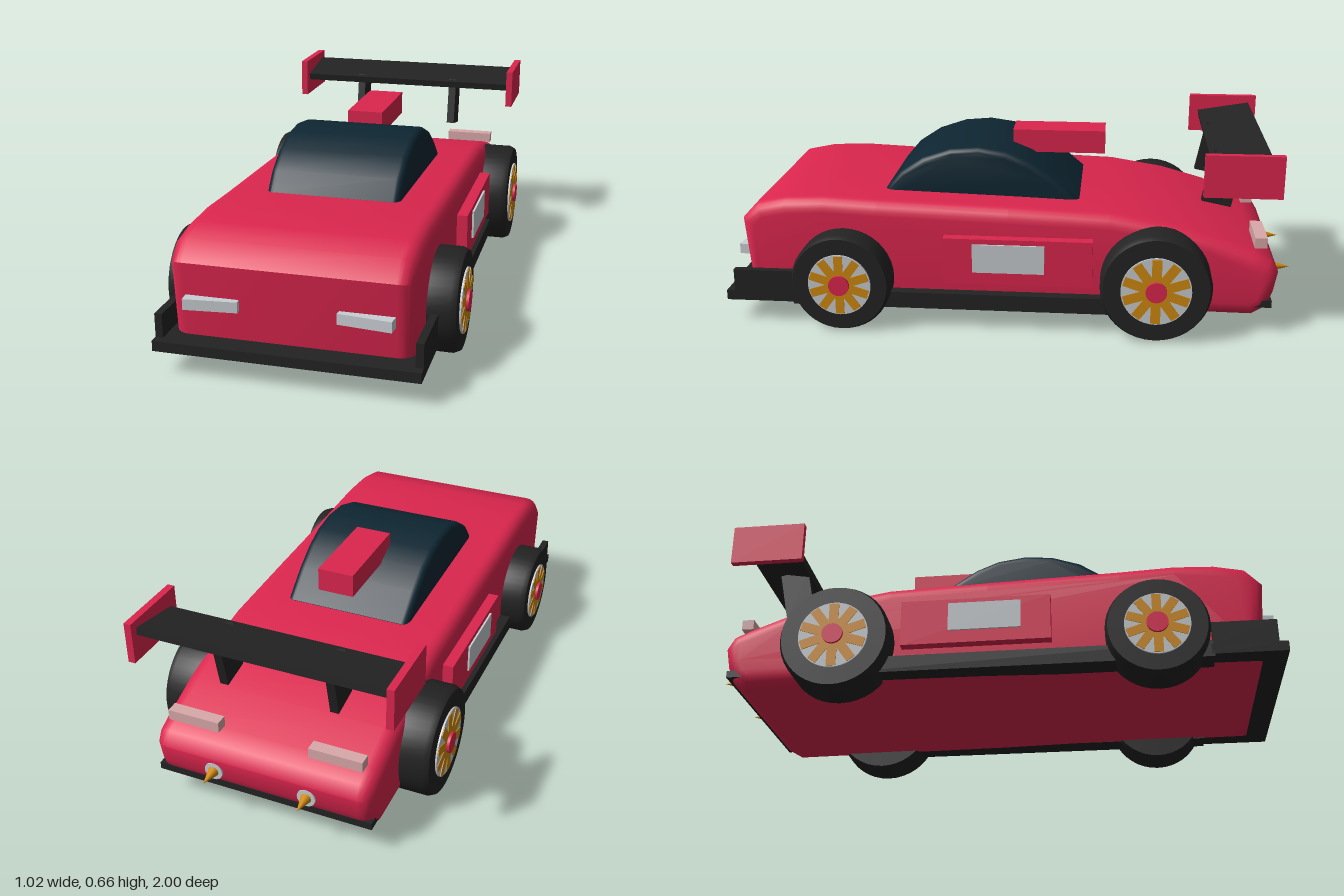
import * as THREE from 'three';
import { toCreasedNormals } from 'three/addons/utils/BufferGeometryUtils.js';

const paint = (name, color) => {
  const m = new THREE.MeshStandardMaterial({ color });
  m.name = name;
  return m;
};

export function createModel() {
  const red = paint('red paint', 0xdc264e);
  const black = paint('black trim', 0x232323);
  const glass = paint('dark glass', 0x0e2632);
  const silver = paint('silver', 0xc9ced2);
  const gold = paint('gold', 0xd18b10);
  const pink = paint('pale pink lamp', 0xd9a9a9);

  const car = new THREE.Group();
  car.name = 'raceCar';

  const add = (name, geometry, material, parent = car) => {
    const mesh = new THREE.Mesh(geometry, material);
    mesh.name = name;
    parent.add(mesh);
    return mesh;
  };

  // Box given by its limits on each axis
  const box = (name, material, [x0, x1], [y0, y1], [z0, z1]) => {
    const mesh = add(name, new THREE.BoxGeometry(Math.abs(x1 - x0), y1 - y0, z1 - z0), material);
    mesh.position.set((x0 + x1) / 2, (y0 + y1) / 2, (z0 + z1) / 2);
    return mesh;
  };

  // Side outline of [z, y] points, extruded across the car with rounded edges
  const sideExtrude = (points, halfWidth, bevel, crease) => {
    const shape = new THREE.Shape(points.map(([z, y]) => new THREE.Vector2(z, y)));
    const depth = 2 * (halfWidth - bevel);
    const geometry = new THREE.ExtrudeGeometry(shape, {
      depth, bevelEnabled: true, bevelSize: bevel, bevelThickness: bevel,
      bevelOffset: -bevel, bevelSegments: 5,
    });
    geometry.translate(0, 0, -depth / 2);
    geometry.rotateY(-Math.PI / 2);
    return toCreasedNormals(geometry, crease);
  };

  // Body shell
  add('body', sideExtrude([
    [0.92, 0.078], [0.946, 0.365], [0.89, 0.425], [0.785, 0.447], [0.65, 0.453],
    [0.46, 0.445], [0, 0.432], [-0.35, 0.42], [-0.55, 0.388], [-0.71, 0.344],
    [-0.85, 0.292], [-0.908, 0.266], [-0.935, 0.22], [-0.922, 0.15],
    [-0.9, 0.092], [-0.85, 0.062],
  ].reverse(), 0.39, 0.05, 0.72), red);

  // Cabin bubble
  add('cabin', sideExtrude([
    [0.46, 0.4], [0.455, 0.445], [0.4, 0.51], [0.32, 0.563], [0.22, 0.597],
    [0.12, 0.606], [0.02, 0.592], [-0.06, 0.56], [-0.14, 0.508],
    [-0.24, 0.425], [-0.25, 0.38],
  ].reverse(), 0.235, 0.025, 0.6), glass);

  box('roofScoop', red, [-0.065, 0.065], [0.55, 0.633], [-0.325, 0.01]);

  // Front splitter and rear lower strip
  box('splitter', black, [-0.43, 0.43], [0.08, 0.115], [0.75, 1]);
  box('rearStrip', black, [-0.385, 0.385], [0.1, 0.125], [-0.915, -0.7]);

  // Rear wing
  const wing = box('wing', black, [-0.433, 0.433], [0.593, 0.619], [-0.89, -0.69]);
  wing.rotation.x = 0.17;

  // Tyre section: [radius, offset along the axle], scaled per wheel
  const tyreGeometry = (r, w) => toCreasedNormals(new THREE.LatheGeometry([
    [0, -w / 2], [r * 0.96, -w / 2], [r, -w / 2 + 0.012],
    [r, w / 2 - 0.02], [r * 0.95, w / 2], [0, w / 2],
  ].map(([x, y]) => new THREE.Vector2(x, y)), 40), 0.5);

  const addWheel = (name, side, z, r, inner, outer) => {
    const wheel = new THREE.Group();
    wheel.name = name;
    const w = outer - inner;
    const rim = r * 0.63;
    add('tyre', tyreGeometry(r, w), black, wheel);
    add('rimDisc', new THREE.CylinderGeometry(rim, rim, 0.008, 40), silver, wheel)
      .position.y = w / 2 + 0.002;
    for (let i = 0; i < 10; i++) {
      const a = (i / 10) * Math.PI * 2;
      const spoke = add('spoke', new THREE.BoxGeometry(rim * 0.72, 0.009, rim * 0.28), gold, wheel);
      spoke.position.set(Math.cos(a) * rim * 0.6, w / 2 + 0.004, -Math.sin(a) * rim * 0.6);
      spoke.rotation.y = a;
    }
    add('hub', new THREE.CylinderGeometry(0.036, 0.036, 0.026, 24), red, wheel)
      .position.y = w / 2 + 0.005;
    wheel.rotation.z = -side * Math.PI / 2;
    wheel.position.set(side * (inner + outer) / 2, r, z);
    car.add(wheel);
  };

  // Mirrored parts
  for (const s of [1, -1]) {
    const label = s > 0 ? 'left' : 'right';
    const span = (a, b) => [s * a, s * b];

    addWheel(label + 'FrontWheel', s, 0.577, 0.174, 0.333, 0.484);
    addWheel(label + 'RearWheel', s, -0.513, 0.191, 0.333, 0.49);

    box(label + 'SideSkirt', black, span(0.34, 0.43), [0.072, 0.13], [-0.6, 0.76]);
    box(label + 'SplitterFence', black, span(0.405, 0.43), [0.11, 0.195], [0.755, 0.97]);
    box(label + 'SidePanel', red, span(0.36, 0.428), [0.17, 0.335], [-0.295, 0.222]);
    box(label + 'SidePlate', silver, span(0.427, 0.435), [0.215, 0.317], [-0.13, 0.12]);

    // Lamps
    const headlight = box(label + 'Headlight', silver, span(0.16, 0.335), [0.22, 0.256], [0.925, 0.965]);
    headlight.rotation.y = -s * 0.1;
    box(label + 'TailLamp', pink, span(0.16, 0.345), [0.303, 0.34], [-0.892, -0.85]);

    // Wing supports and end plates
    const strut = box(label + 'WingStrut', black, span(0.183, 0.213), [0.415, 0.6], [-0.793, -0.688]);
    strut.rotation.x = -0.2;
    box(label + 'WingEndPlate', red, span(0.432, 0.457), [0.517, 0.662], [-0.917, -0.657]);

    // Exhaust spikes with silver collars
    const collar = add(label + 'ExhaustCollar', new THREE.CylinderGeometry(0.032, 0.032, 0.04, 20), silver);
    collar.rotation.x = -Math.PI / 2;
    collar.position.set(s * 0.167, 0.172, -0.914);
    const spike = add(label + 'ExhaustSpike', new THREE.ConeGeometry(0.021, 0.075, 16), gold);
    spike.rotation.x = -Math.PI / 2;
    spike.position.set(s * 0.167, 0.172, -0.9625);
  }

  return car;
}
